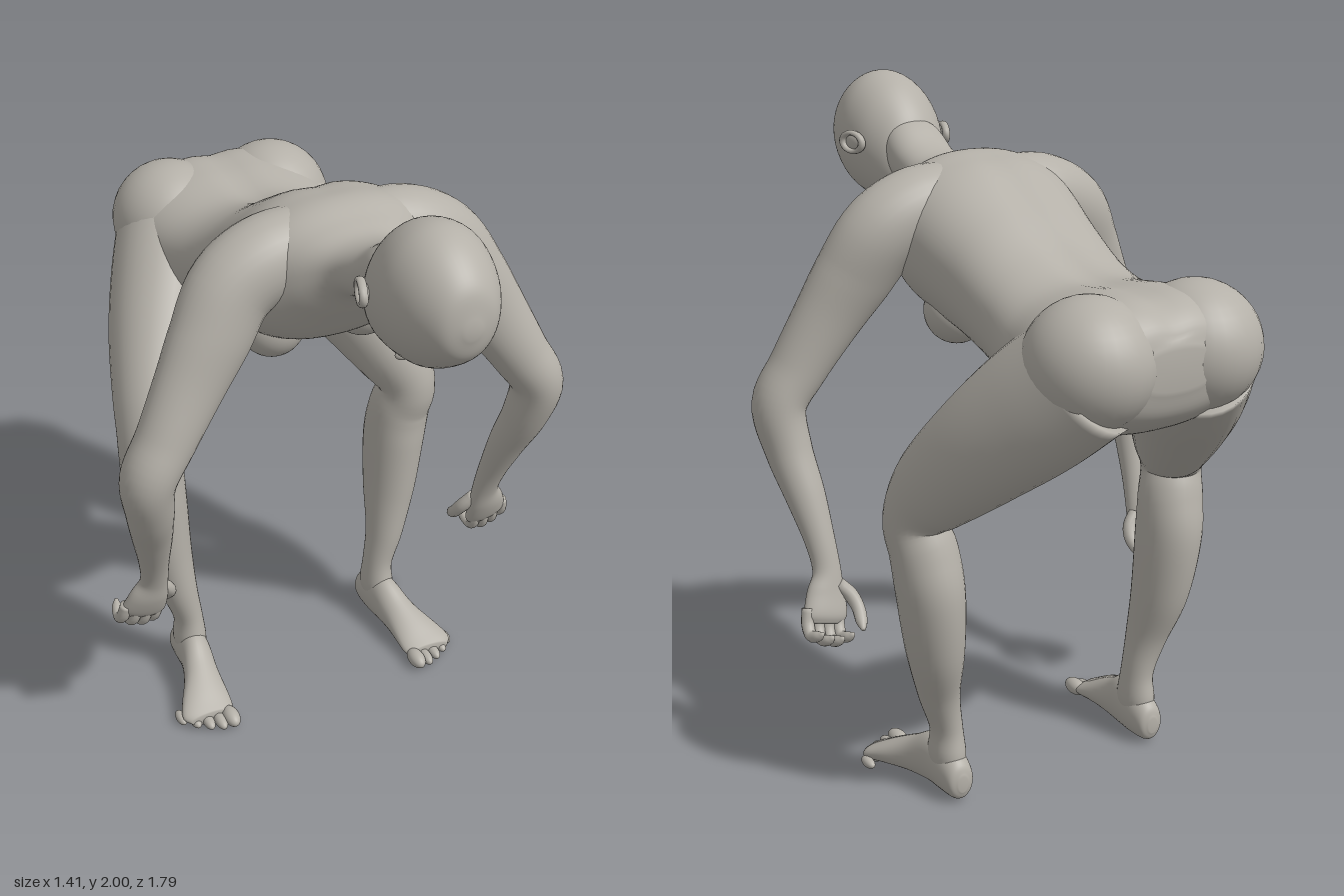
import * as THREE from 'three';

const skin = new THREE.MeshStandardMaterial({ color: 0xb4b0a8 });
skin.name = 'warm grey skin';

// Smooth closed body through rings [x, y, z, radiusU, radiusV]; U follows ref, dir fixes the ring plane.
function loft(rings, { ref = new THREE.Vector3(1, 0, 0), dir = null, steps = 6, sides = 32, power = 2 } = {}) {
  const path = new THREE.CatmullRomCurve3(rings.map(r => new THREE.Vector3(r[0], r[1], r[2])), false, 'catmullrom');
  const size = new THREE.CatmullRomCurve3(rings.map(r => new THREE.Vector3(r[3], r[4], 0)), false, 'catmullrom');
  const n = (rings.length - 1) * steps;
  const pos = [], idx = [];
  const bend = a => Math.sign(a) * Math.pow(Math.abs(a), 2 / power);
  for (let i = 0; i <= n; i++) {
    const c = path.getPoint(i / n), r = size.getPoint(i / n);
    const t = dir || path.getTangent(i / n);
    const u = ref.clone().addScaledVector(t, -ref.dot(t)).normalize();
    const v = t.clone().cross(u);
    for (let j = 0; j < sides; j++) {
      const a = (j / sides) * Math.PI * 2;
      const p = c.clone().addScaledVector(u, bend(Math.cos(a)) * r.x).addScaledVector(v, bend(Math.sin(a)) * r.y);
      pos.push(p.x, p.y, p.z);
      const k = (j + 1) % sides, q = i * sides;
      if (i < n) idx.push(q + j, q + k, q + sides + k, q + j, q + sides + k, q + sides + j);
    }
  }
  // End caps
  const first = rings[0], last = rings[rings.length - 1], e = pos.length / 3;
  pos.push(first[0], first[1], first[2], last[0], last[1], last[2]);
  for (let j = 0; j < sides; j++) {
    const k = (j + 1) % sides;
    idx.push(e, k, j, e + 1, n * sides + j, n * sides + k);
  }
  const g = new THREE.BufferGeometry();
  g.setAttribute('position', new THREE.Float32BufferAttribute(pos, 3));
  g.setIndex(idx);
  g.computeVertexNormals();
  return g;
}

function add(parent, name, geometry) {
  const m = new THREE.Mesh(geometry, skin);
  m.name = name;
  parent.add(m);
  return m;
}

function ellipsoid(parent, name, [x, y, z], [rx, ry, rz]) {
  const m = add(parent, name, new THREE.SphereGeometry(1, 32, 20));
  m.position.set(x, y, z);
  m.scale.set(rx, ry, rz);
  return m;
}

// Ring across the body's length from its top and bottom heights
const slice = (z, top, bottom, halfWidth) => [0, (top + bottom) / 2, z, halfWidth, (top - bottom) / 2];
const mirror = (rings, s) => rings.map(([x, ...rest]) => [x * s, ...rest]);

function digit(parent, name, points, r, s) {
  const taper = [1, 1.05, 0.95, 0.85, 0.3];
  const rings = points.map((p, i) => [...p, r * taper[i], r * taper[i]]);
  add(parent, name, loft(mirror(rings, s), { ref: new THREE.Vector3(s, 0, 0), steps: 4, sides: 12 }));
}

function makeTorso() {
  const g = loft([
    slice(-0.86, 1.47, 1.36, 0.12), slice(-0.83, 1.54, 1.28, 0.23), slice(-0.75, 1.585, 1.22, 0.32),
    slice(-0.62, 1.59, 1.20, 0.325), slice(-0.45, 1.575, 1.21, 0.285), slice(-0.31, 1.62, 1.25, 0.258),
    slice(-0.15, 1.715, 1.295, 0.262), slice(0, 1.80, 1.335, 0.285), slice(0.10, 1.825, 1.37, 0.30),
    slice(0.18, 1.83, 1.42, 0.28), slice(0.26, 1.805, 1.52, 0.205), slice(0.33, 1.79, 1.61, 0.125),
    slice(0.41, 1.81, 1.645, 0.10), slice(0.50, 1.865, 1.67, 0.10), slice(0.58, 1.87, 1.70, 0.09),
  ], { dir: new THREE.Vector3(0, 0, 1), sides: 72, power: 2.25 });
  // Shallow groove along the spine
  const p = g.attributes.position;
  for (let i = 0; i < p.count; i++) {
    const x = p.getX(i), y = p.getY(i), z = p.getZ(i);
    if (y > 1.5 && z < 0.15) p.setY(i, y - 0.012 * Math.exp(-((x / 0.045) ** 2)) * Math.min(1, (0.15 - z) / 0.2));
  }
  g.computeVertexNormals();
  return g;
}

function makeHead(model) {
  const head = new THREE.Group();
  head.name = 'head';
  add(head, 'skull', loft([
    slice(0.896, 1.81, 1.77, 0.02), slice(0.875, 1.895, 1.705, 0.078), slice(0.82, 1.955, 1.655, 0.121),
    slice(0.75, 1.992, 1.615, 0.148), slice(0.68, 1.997, 1.60, 0.157), slice(0.60, 1.968, 1.59, 0.146),
    slice(0.53, 1.905, 1.585, 0.117), slice(0.485, 1.83, 1.59, 0.088), slice(0.455, 1.74, 1.605, 0.055),
    slice(0.443, 1.68, 1.625, 0.025),
  ], { dir: new THREE.Vector3(0, 0, -1), sides: 48 }));
  add(head, 'nose', loft([
    [0, 1.605, 0.68, 0.010, 0.012], [0, 1.592, 0.64, 0.013, 0.018],
    [0, 1.582, 0.60, 0.024, 0.022], [0, 1.592, 0.578, 0.014, 0.012],
  ], { dir: new THREE.Vector3(0, 0, -1), sides: 16 }));
  ellipsoid(head, 'upperLip', [0, 1.587, 0.535], [0.036, 0.013, 0.011]);
  ellipsoid(head, 'lowerLip', [0, 1.588, 0.515], [0.030, 0.013, 0.011]);
  ellipsoid(head, 'chin', [0, 1.612, 0.475], [0.036, 0.024, 0.026]);
  for (const s of [1, -1]) {
    ellipsoid(head, 'eyelid', [s * 0.055, 1.612, 0.648], [0.026, 0.016, 0.014]);
    // Ear: rim around a shallow bowl
    const ear = new THREE.Group();
    ear.name = 'ear';
    const rim = add(ear, 'earRim', new THREE.TorusGeometry(0.036, 0.010, 10, 28));
    rim.scale.set(1.15, 0.8, 1.2);
    ellipsoid(ear, 'earBowl', [0, 0, -0.008], [0.036, 0.026, 0.012]);
    ear.position.set(s * 0.163, 1.80, 0.612);
    ear.rotation.y = s * (Math.PI / 2 + 0.3);
    head.add(ear);
  }
  model.add(head);
}

function makeArm(model, s) {
  const arm = new THREE.Group();
  arm.name = s > 0 ? 'leftArm' : 'rightArm';
  add(arm, 'shoulderToPalm', loft(mirror([
    [0.05, 1.68, 0.13, 0.11, 0.125], [0.20, 1.68, 0.135, 0.122, 0.127], [0.32, 1.62, 0.145, 0.115, 0.125],
    [0.40, 1.50, 0.175, 0.10, 0.12], [0.475, 1.38, 0.20, 0.086, 0.105], [0.56, 1.24, 0.225, 0.083, 0.088],
    [0.622, 1.13, 0.235, 0.085, 0.08], [0.612, 1.0, 0.205, 0.072, 0.07], [0.59, 0.87, 0.15, 0.057, 0.06],
    [0.572, 0.74, 0.10, 0.042, 0.046], [0.566, 0.65, 0.072, 0.034, 0.044], [0.58, 0.585, 0.055, 0.034, 0.062],
    [0.592, 0.53, 0.035, 0.03, 0.07], [0.598, 0.505, 0.027, 0.018, 0.055],
  ], s), { ref: new THREE.Vector3(0, 0, 1) }));
  // Fingers curl backwards from the knuckles
  for (let i = 0; i < 4; i++) {
    const x = 0.548 + i * 0.033, y = [0.515, 0.51, 0.52, 0.54][i];
    digit(arm, 'finger', [
      [x, y + 0.02, 0.04], [x + 0.008, y - 0.025, 0.028], [x + 0.012, y - 0.05, 0.0],
      [x + 0.006, y - 0.04, -0.035], [x, y - 0.025, -0.055],
    ], 0.0185, s);
  }
  digit(arm, 'thumb', [
    [0.54, 0.61, 0.05], [0.51, 0.575, 0.035], [0.498, 0.54, 0.01], [0.505, 0.51, -0.025], [0.515, 0.495, -0.055],
  ], 0.021, s);
  model.add(arm);
}

function makeLeg(model, s) {
  const leg = new THREE.Group();
  leg.name = s > 0 ? 'leftLeg' : 'rightLeg';
  ellipsoid(leg, 'hip', [s * 0.172, 1.42, -0.70], [0.182, 0.182, 0.19]);
  add(leg, 'thighToAnkle', loft(mirror([
    [0.175, 1.40, -0.70, 0.165, 0.185], [0.25, 1.28, -0.575, 0.165, 0.187], [0.33, 1.15, -0.445, 0.15, 0.167],
    [0.41, 1.0, -0.305, 0.118, 0.133], [0.447, 0.895, -0.255, 0.092, 0.098], [0.432, 0.80, -0.275, 0.098, 0.102],
    [0.42, 0.68, -0.287, 0.096, 0.113], [0.402, 0.50, -0.277, 0.083, 0.10], [0.375, 0.34, -0.25, 0.061, 0.071],
    [0.348, 0.22, -0.243, 0.047, 0.058], [0.345, 0.13, -0.242, 0.052, 0.07], [0.345, 0.06, -0.242, 0.04, 0.06],
  ], s)));
  add(leg, 'foot', loft(mirror([
    [0.345, 0.065, -0.337, 0.016, 0.025], [0.345, 0.07, -0.32, 0.042, 0.058], [0.345, 0.085, -0.26, 0.052, 0.079],
    [0.35, 0.09, -0.18, 0.052, 0.084], [0.365, 0.07, -0.10, 0.059, 0.063], [0.386, 0.05, -0.02, 0.078, 0.043],
    [0.396, 0.036, 0.03, 0.085, 0.03], [0.392, 0.03, 0.06, 0.07, 0.02],
  ], s), { dir: new THREE.Vector3(0, 0, 1) }));
  for (let i = 0; i < 5; i++) {
    const r = i ? 0.02 - i * 0.001 : 0.026;
    ellipsoid(leg, 'toe', [s * (0.335 + i * 0.036), r + 0.003, 0.078 - 0.0045 * i * i], [r, r, 0.046 - i * 0.003]);
  }
  model.add(leg);
}

export function createModel() {
  const model = new THREE.Group();
  model.name = 'crouchingFigure';
  add(model, 'torsoAndNeck', makeTorso());
  makeHead(model);
  for (const s of [1, -1]) {
    ellipsoid(model, 'chest', [s * 0.145, 1.40, 0.015], [0.10, 0.10, 0.095]);
    makeArm(model, s);
    makeLeg(model, s);
  }
  return model;
}
